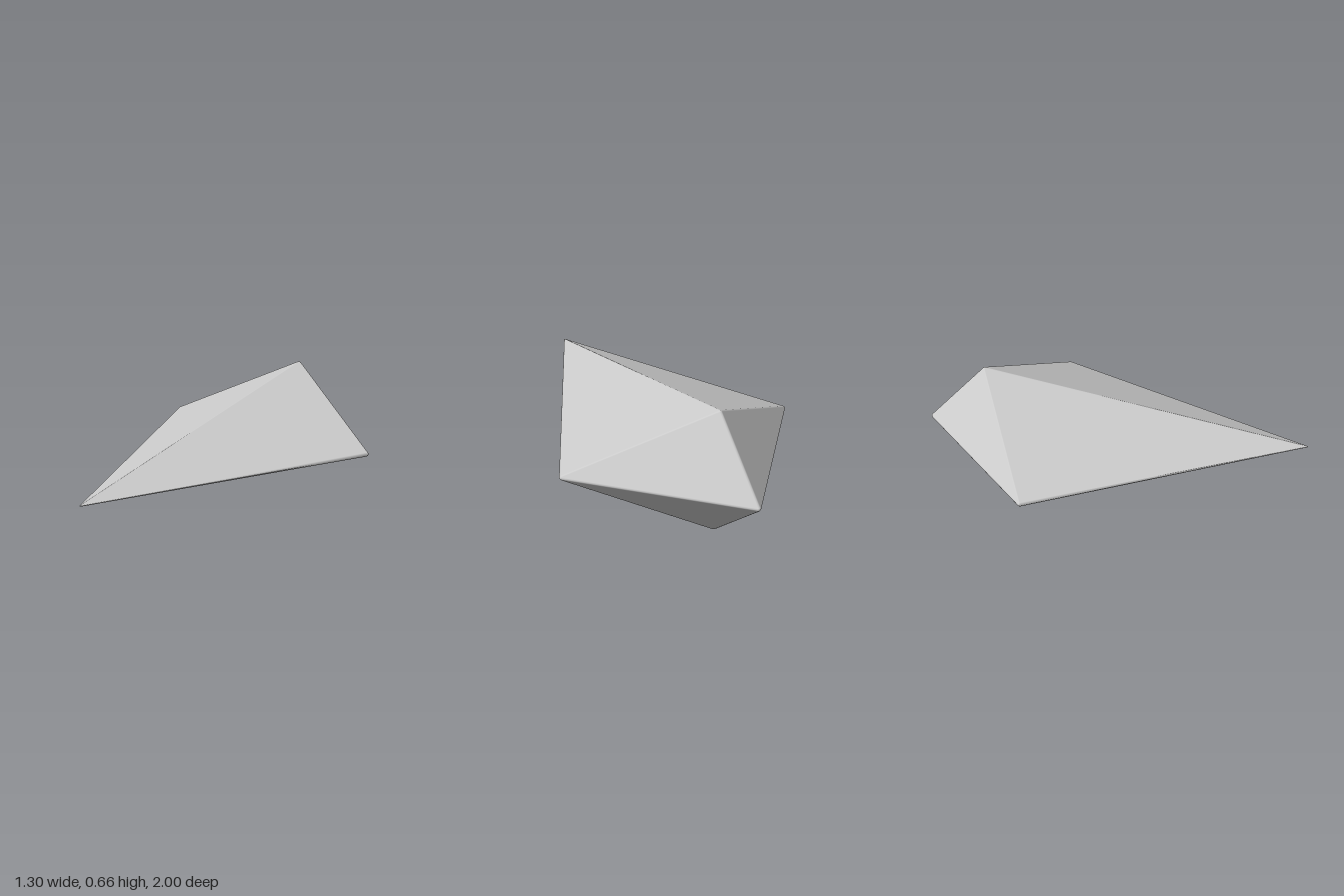
import * as THREE from 'three';
import { ConvexGeometry } from 'three/addons/geometries/ConvexGeometry.js';

const V = (x, y, z) => new THREE.Vector3(x, y, z);

// Corner ball centres and radii; the nose tapers to a finer point
const R = 0.012, MID = 0.331;
const corners = {
  front: { p: V(0, MID, 0.997), r: 0.003 },
  back: { p: V(0, MID, -1 + R), r: R },
  left: { p: V(0.65 - R, MID, -0.355), r: R },
  right: { p: V(-0.65 + R, MID, -0.355), r: R },
  top: { p: V(0, 0.662 - R, -0.672), r: R },
  bottom: { p: V(0, R, -0.672), r: R },
};

// The eight faces, each with its outward normal
function makeFaces() {
  const faces = [];
  const inside = V(0, MID, -0.4);
  for (const x of ['left', 'right'])
    for (const y of ['top', 'bottom'])
      for (const z of ['front', 'back']) {
        const [a, b, c] = [x, y, z].map((k) => corners[k].p);
        const normal = b.clone().sub(a).cross(c.clone().sub(a)).normalize();
        if (normal.dot(a.clone().sub(inside)) < 0) normal.negate();
        faces.push({ keys: [x, y, z], normal });
      }
  return faces;
}

// Convex hull of a few points on each corner ball, giving rounded edges
function roundedCrystal() {
  const points = [], normals = [];
  const faces = makeFaces();
  for (const [key, { p, r }] of Object.entries(corners)) {
    const around = faces.filter((f) => f.keys.includes(key));
    around.forEach((f, i) => {
      for (const g of around.slice(i)) {
        const n = f.normal.clone().add(g.normal).normalize();
        points.push(p.clone().addScaledVector(n, r));
        normals.push(n);
      }
    });
  }
  const geometry = new ConvexGeometry(points);

  // Smooth normals: each vertex points straight out of its corner ball
  const pos = geometry.attributes.position, nor = geometry.attributes.normal;
  const v = V(0, 0, 0);
  for (let i = 0; i < pos.count; i++) {
    v.fromBufferAttribute(pos, i);
    let best = 0;
    points.forEach((q, j) => {
      if (q.distanceToSquared(v) < points[best].distanceToSquared(v)) best = j;
    });
    nor.setXYZ(i, normals[best].x, normals[best].y, normals[best].z);
  }
  return geometry;
}

export function createModel() {
  const group = new THREE.Group();
  group.name = 'crystal';
  const body = new THREE.Mesh(roundedCrystal(), new THREE.MeshStandardMaterial({ color: 0xcccccc }));
  body.name = 'crystalBody';
  group.add(body);
  return group;
}
